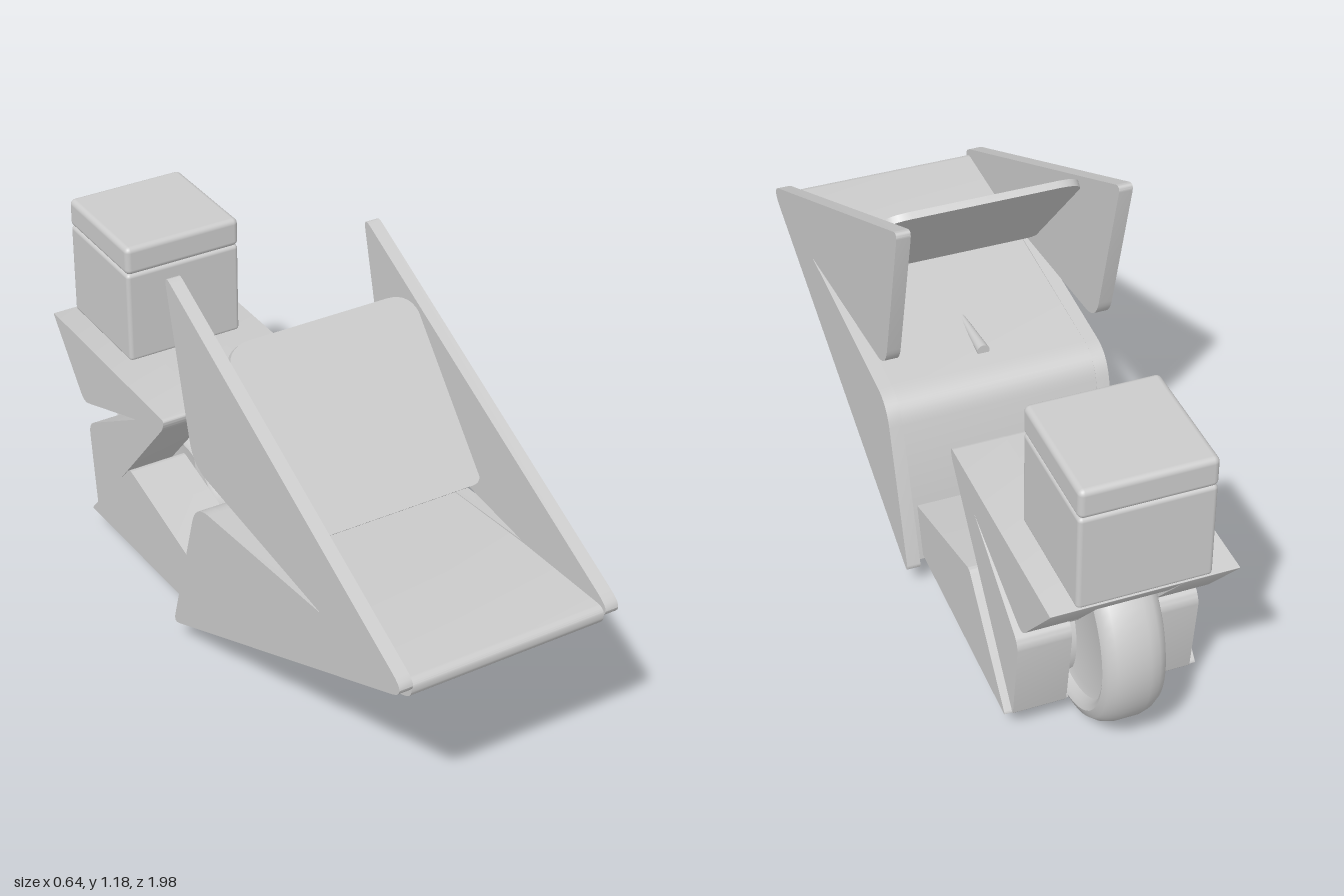
import * as THREE from 'three';
import { toCreasedNormals } from 'three/addons/utils/BufferGeometryUtils.js';
import { RoundedBoxGeometry } from 'three/addons/geometries/RoundedBoxGeometry.js';

const material = new THREE.MeshStandardMaterial({ color: 0xcccccc });

function addMesh(parent, name, geometry) {
  const mesh = new THREE.Mesh(geometry, material);
  mesh.name = name;
  parent.add(mesh);
  return mesh;
}

// Closed outline from [u, v, cornerRadius] points
function roundedShape(points) {
  const shape = new THREE.Shape();
  const n = points.length;
  points.forEach(([u, v, r = 0], i) => {
    const p = new THREE.Vector2(u, v);
    const toward = (q) => {
      const d = new THREE.Vector2(q[0], q[1]).sub(p);
      return d.setLength(Math.min(r, d.length() * 0.45)).add(p);
    };
    const a = toward(points[(i + n - 1) % n]);
    const b = toward(points[(i + 1) % n]);
    if (i === 0) shape.moveTo(a.x, a.y);
    else shape.lineTo(a.x, a.y);
    if (r > 0) shape.quadraticCurveTo(u, v, b.x, b.y);
  });
  shape.closePath();
  return shape;
}

// Side profile in (z, y), extruded from x0 to x1
function slab(points, x0, x1) {
  const geometry = new THREE.ExtrudeGeometry(roundedShape(points), {
    depth: x1 - x0, bevelEnabled: false, curveSegments: 8,
  });
  geometry.rotateY(-Math.PI / 2).translate(x1, 0, 0);
  return toCreasedNormals(geometry, 0.5);
}

// Rounded tyre with a recessed disc on each side, turned about the x axis
function wheelGeometry(radius, halfWidth) {
  const rim = radius * 0.78;
  const half = [
    [0, 0.6], [rim - 0.02, 0.6], [rim, 0.68], [rim + 0.01, 0.92],
    [radius * 0.86, 1], [radius * 0.93, 0.9], [radius * 0.975, 0.67], [radius, 0.35],
  ].map(([r, w]) => new THREE.Vector2(r, -w * halfWidth));
  const other = half.map((p) => new THREE.Vector2(p.x, -p.y)).reverse();
  const geometry = new THREE.LatheGeometry([...half, ...other], 56);
  geometry.rotateZ(Math.PI / 2);
  return toCreasedNormals(geometry, 0.75);
}

export function createModel() {
  const model = new THREE.Group();
  model.name = 'vehicle';

  // Notched arrowhead plates on both flanks
  const platePoints = [
    [1.02, 0.625, 0.075], [-0.145, 1.195, 0.035], [-0.015, 0.685, 0.07],
    [0.63, 0.62, 0.008], [-0.01, 0.56, 0.07], [-0.157, 0.075, 0.035],
  ];
  addMesh(model, 'leftSidePlate', slab(platePoints, 0.28, 0.318));
  addMesh(model, 'rightSidePlate', slab(platePoints, -0.318, -0.28));

  // Wedge hull between the plates
  addMesh(model, 'hull', slab([
    [0.98, 0.632, 0.03], [0.64, 0.617], [-0.01, 0.56, 0.07],
    [-0.14, 0.1, 0.01], [0.98, 0.585, 0.03],
  ], -0.28, 0.28));

  // Slanted front screen
  const panelShape = roundedShape([
    [-0.282, -0.265, 0.03], [0.282, -0.265, 0.03], [0.282, 0.265, 0.08], [-0.282, 0.265, 0.08],
  ]);
  const panelGeometry = new THREE.ExtrudeGeometry(panelShape, {
    depth: 0.02, bevelEnabled: false, curveSegments: 8,
  });
  panelGeometry.translate(0, 0, -0.01);
  const panel = addMesh(model, 'screen', toCreasedNormals(panelGeometry, 0.5));
  panel.position.set(0, 0.88, 0.26);
  panel.rotation.x = -0.73;

  // Small lever lying on the deck
  const lever = addMesh(model, 'lever', new THREE.CylinderGeometry(0.018, 0.007, 0.18, 16));
  lever.position.set(0, 0.577, 0.19);
  lever.rotation.x = -Math.PI / 2;

  // Forked lower arm: two prongs joined ahead of the small wheel
  const armPoints = [
    [-0.04, 0.245], [-0.5, 0.37, 0.015], [-0.76, 0.083, 0.012], [-0.08, 0.118],
  ];
  const bridgePoints = [[-0.04, 0.245], [-0.29, 0.313], [-0.29, 0.107], [-0.08, 0.118]];

  // Notched rear bracket, split around the big wheel
  const bracketPoints = [
    [-0.315, 0.627, 0.015], [-1, 0.627, 0.008], [-0.82, 0.415, 0.03], [-0.485, 0.54, 0.006],
    [-0.795, 0.355, 0.035], [-0.762, 0.085, 0.008], [-0.325, 0.595, 0.015],
  ];
  const bracketCentre = [
    [-0.315, 0.627, 0.015], [-1, 0.627, 0.008], [-0.91, 0.525], [-0.81, 0.605],
    [-0.6, 0.605], [-0.5, 0.55], [-0.42, 0.485], [-0.325, 0.595, 0.015],
  ];
  for (const [side, s] of [['left', 1], ['right', -1]]) {
    const span = (a, b) => (s > 0 ? [a, b] : [-b, -a]);
    addMesh(model, side + 'ArmProng', slab(armPoints, ...span(0.092, 0.267)));
    addMesh(model, side + 'RearBracket', slab(bracketPoints, ...span(0.1, 0.247)));
  }
  addMesh(model, 'armBridge', slab(bridgePoints, -0.092, 0.092));
  addMesh(model, 'rearBracketCentre', slab(bracketCentre, -0.1, 0.1));

  // Wheels and axles
  const wheels = [
    ['rearWheel', 0.294, 0.325, -0.697, 0.085],
    ['smallWheel', 0.202, 0.207, -0.51, 0.082],
  ];
  for (const [name, radius, y, z, halfWidth] of wheels) {
    addMesh(model, name, wheelGeometry(radius, halfWidth)).position.set(0, y, z);
    const axle = addMesh(model, name + 'Axle', new THREE.CylinderGeometry(0.025, 0.025, 0.21, 20));
    axle.position.set(0, y, z);
    axle.rotation.z = Math.PI / 2;
  }

  // Cargo box with lid
  addMesh(model, 'cargoBox', new RoundedBoxGeometry(0.355, 0.28, 0.352, 3, 0.012))
    .position.set(0, 0.762, -0.818);
  addMesh(model, 'cargoLid', new RoundedBoxGeometry(0.357, 0.085, 0.356, 3, 0.016))
    .position.set(0, 0.943, -0.818);

  return model;
}
